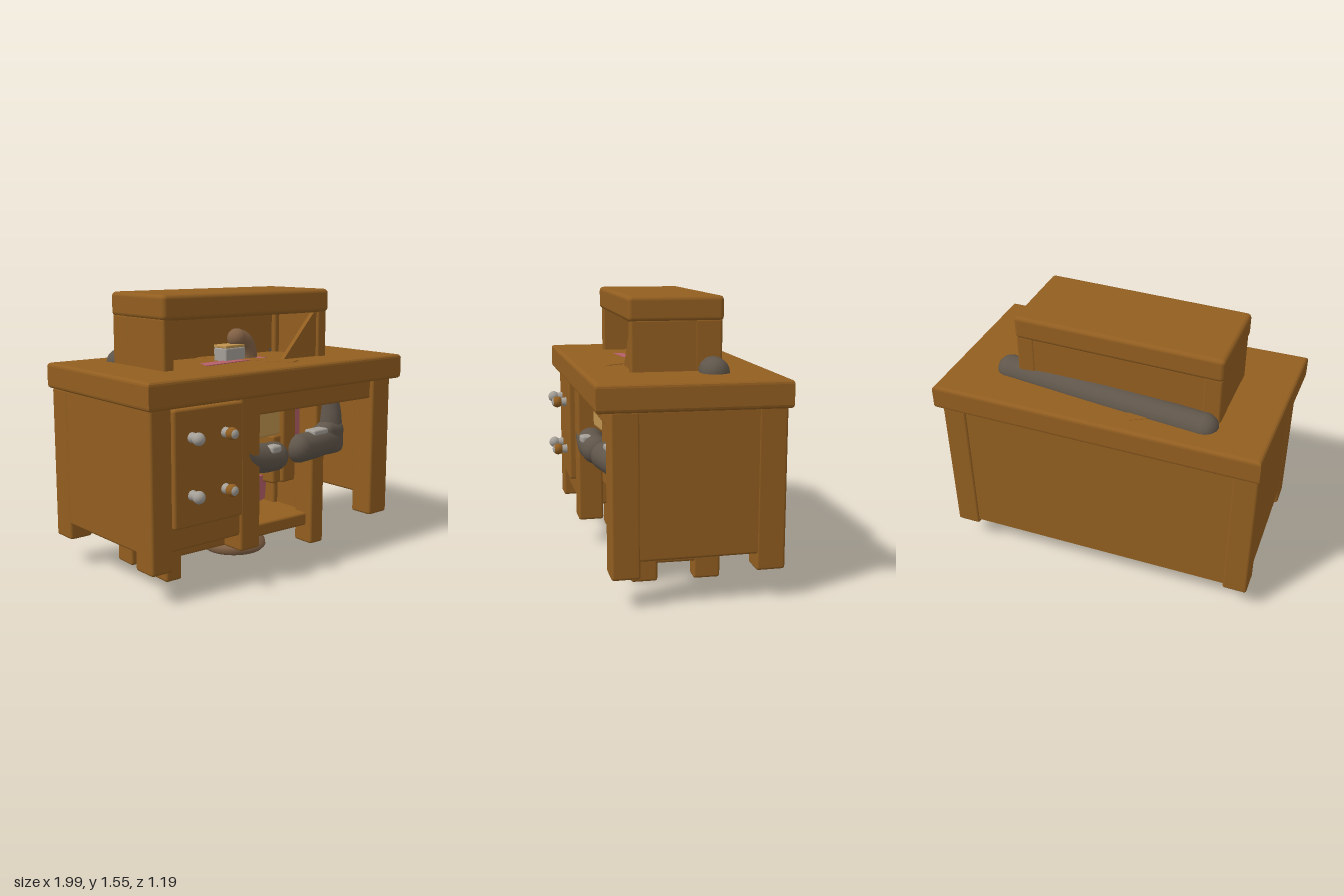
import * as THREE from 'three';
import { RoundedBoxGeometry } from 'three/addons/geometries/RoundedBoxGeometry.js';

export function createModel() {
  const mat = (name, color) => {
    const m = new THREE.MeshStandardMaterial({ color });
    m.name = name;
    return m;
  };
  const wood = mat('wood', 0x925e20);
  const grey = mat('dark grey cloth', 0x60564b);
  const pink = mat('pink', 0xb56068);
  const tan = mat('tan', 0xbf934f);
  const clay = mat('clay brown', 0x826145);
  const silver = mat('silver', 0xa5a098);
  clay.side = THREE.DoubleSide;

  const root = new THREE.Group();
  const add = (parent, name, geo, material, x = 0, y = 0, z = 0) => {
    const m = new THREE.Mesh(geo, material);
    m.name = name;
    m.position.set(x, y, z);
    parent.add(m);
    return m;
  };
  // softly rounded box given by its limits
  const block = (parent, name, material, x0, x1, y0, y1, z0, z1, r = 0.015) =>
    add(parent, name,
      new RoundedBoxGeometry(x1 - x0, y1 - y0, z1 - z0, 2, Math.min(r, (y1 - y0) / 3, (z1 - z0) / 3)),
      material, (x0 + x1) / 2, (y0 + y1) / 2, (z0 + z1) / 2);
  const outline = pts => new THREE.Shape(pts.map(p => new THREE.Vector2(...p)));
  const plate = (parent, name, material, pts, depth, z) =>
    add(parent, name, new THREE.ExtrudeGeometry(outline(pts), { depth, bevelEnabled: false }), material, 0, 0, z);
  const tube = (parent, name, material, pts, r) => {
    const v = pts.map(p => new THREE.Vector3(...p));
    add(parent, name, new THREE.TubeGeometry(new THREE.CatmullRomCurve3(v), 24, r, 14), material);
    for (const p of [v[0], v[v.length - 1]])
      add(parent, name + 'End', new THREE.SphereGeometry(r, 14, 10), material, p.x, p.y, p.z);
  };

  // slightly skewed slab of the large desk, with softened edges
  const slab = new THREE.ExtrudeGeometry(
    outline([[-0.975, -0.41], [0.85, -0.57], [0.975, 0.375], [-0.845, 0.575]]),
    { depth: 0.105, bevelThickness: 0.02, bevelSize: 0.02, bevelSegments: 3 });
  slab.rotateX(-Math.PI / 2);
  add(root, 'deskTop', slab, wood, 0, 1.03, 0);

  // large desk
  const desk = new THREE.Group();
  desk.name = 'desk';
  desk.rotation.y = -0.097;
  root.add(desk);
  for (const [x0, x1, z] of [[-0.912, -0.78, 0.475], [-0.31, -0.17, 0.455], [0.755, 0.91, 0.435]])
    block(desk, 'frontLeg', wood, x0, x1, 0.16, 1.02, z - 0.15, z);
  for (const [x0, x1] of [[-0.91, -0.77], [0.77, 0.91]])
    block(desk, 'backLeg', wood, x0, x1, 0.16, 1.02, -0.475, -0.32);
  block(desk, 'leftSide', wood, 0.86, 0.907, 0.25, 1.02, -0.43, 0.4);
  block(desk, 'rightSide', wood, -0.907, -0.86, 0.25, 1.02, -0.43, 0.44);
  block(desk, 'backPanel', wood, -0.88, 0.88, 0.35, 1.02, -0.463, -0.42);
  const skin = add(desk, 'backFacing', new THREE.PlaneGeometry(1.6, 0.83), wood, 0, 0.605, -0.466);
  skin.rotation.y = Math.PI;
  block(desk, 'apron', wood, -0.2, 0.8, 0.89, 1.02, 0.36, 0.41);

  // drawer cabinet
  block(desk, 'cabinetFront', wood, -0.85, -0.24, 0.25, 1.02, 0.39, 0.44);
  block(desk, 'cabinetSide', wood, -0.23, -0.185, 0.25, 1.02, -0.42, 0.43);
  block(desk, 'drawerFront', wood, -0.78, -0.325, 0.38, 1.0, 0.42, 0.49);
  for (const x of [-0.668, -0.45])
    for (const y of [0.55, 0.85]) {
      const stem = add(desk, 'knobStem', new THREE.CylinderGeometry(0.022, 0.03, 0.05, 12), silver, x, y, 0.505);
      stem.rotation.x = Math.PI / 2;
      add(desk, 'knob', new THREE.SphereGeometry(0.034, 16, 12), x < -0.5 ? silver : wood, x, y, 0.545);
      if (x > -0.5) {
        const cap = add(desk, 'knobCap', new THREE.SphereGeometry(0.035, 16, 6, 0, Math.PI * 2, 0, 0.8), silver, x, y, 0.545);
        cap.rotation.x = Math.PI / 2;
      }
    }

  // tall narrow desk passing through the large one
  const inner = new THREE.Group();
  inner.name = 'innerDesk';
  inner.position.set(-0.055, 0, -0.005);
  inner.rotation.y = -0.125;
  root.add(inner);
  block(inner, 'innerTop', wood, -0.592, 0.592, 1.415, 1.55, -0.258, 0.258, 0.025);
  for (const s of [-1, 1]) {
    const a = s < 0 ? -0.587 : 0.482;
    for (const [z0, z1] of [[0.1, 0.247], [-0.25, -0.1]])
      block(inner, 'innerLeg', wood, a, a + 0.105, 0, z0 > 0 ? 0.6 : 1.43, z0, z1);
    block(inner, 'innerSide', wood, s * 0.55 - 0.035, s * 0.55 + 0.035, 0.1, 1.43, -0.24, 0.245);
  }
  block(inner, 'innerBack', wood, -0.56, 0.56, 0.1, 1.16, -0.246, -0.2);
  block(inner, 'innerUpperBack', wood, -0.56, 0.56, 1.14, 1.43, -0.246, -0.13);
  block(inner, 'innerShelf', wood, -0.53, 0.53, 0.11, 0.19, -0.21, 0.2);
  plate(inner, 'slantedPanel', wood, [[0.25, 1.14], [0.57, 1.14], [0.57, 1.42], [0.5, 1.42]], 0.03, 0.2);

  // round stool: pedestal base, stem and padded seat
  const profile = [[0.12, 0.06], [0.14, 0.035], [0.17, 0.03], [0.19, 0.05], [0.185, 0.08], [0.15, 0.11],
    [0.08, 0.13], [0.06, 0.18], [0.045, 0.24], [0.05, 0.3], [0.075, 0.34], [0, 0.35]];
  add(root, 'stoolPedestal', new THREE.LatheGeometry(profile.map(p => new THREE.Vector2(...p)), 32), clay, -0.025, 0, 0.05);
  add(root, 'stoolBaseInside', new THREE.CylinderGeometry(0.125, 0.125, 0.02, 32), tan, -0.025, 0.075, 0.05);
  add(root, 'stoolSeat', new THREE.CylinderGeometry(0.165, 0.155, 0.15, 32), pink, -0.035, 0.425, 0.1);

  // seated figure hidden in the knee space
  block(root, 'torso', pink, -0.2, 0.435, 0.49, 1.14, -0.08, 0.18, 0.03);
  block(root, 'shirt', tan, -0.24, 0.06, 0.74, 0.91, 0.1, 0.34, 0.02);
  plate(root, 'shirtHem', tan, [[-0.24, 0.19], [-0.07, 0.19], [-0.07, 0.25], [-0.13, 0.33], [-0.24, 0.33]], 0.03, -0.1);
  block(root, 'hangingPlank', wood, 0.06, 0.17, 0.46, 0.93, 0.16, 0.36);
  block(root, 'hangingPlankEdge', wood, 0, 0.07, 0.46, 0.74, 0.2, 0.34);
  tube(root, 'leftArm', grey, [[0.185, 0.645, 0.37], [0.38, 0.645, 0.35], [0.51, 0.655, 0.32], [0.54, 0.78, 0.3], [0.55, 0.95, 0.24]], 0.083);
  block(root, 'leftElbow', grey, 0.42, 0.6, 0.56, 0.76, 0.25, 0.4, 0.05);
  tube(root, 'rightArm', grey, [[-0.03, 0.635, 0.37], [-0.13, 0.64, 0.37], [-0.27, 0.68, 0.35], [-0.29, 0.86, 0.33]], 0.083);
  block(root, 'leftCuff', silver, 0.28, 0.41, 0.705, 0.74, 0.33, 0.41);
  block(root, 'rightCuff', silver, -0.13, -0.05, 0.67, 0.715, 0.38, 0.45);

  // shoulder roll lying on the desk top
  tube(root, 'shoulderRoll', grey, [[-0.53, 1.145, -0.36], [0, 1.15, -0.25], [0.625, 1.155, -0.11]], 0.08);

  // small things on the desk top
  const patch = plate(root, 'pinkPatch', pink, [[-0.36, -0.17], [0.15, -0.15], [0.15, -0.08], [-0.31, -0.07]], 0.006, 0);
  patch.rotation.x = -Math.PI / 2;
  patch.position.y = 1.153;
  const plank = block(root, 'flatPlank', wood, -0.05, 0.05, 1.14, 1.16, -0.42, 0.42, 0.005);
  plank.position.x = -0.02;
  plank.position.z = -0.01;
  plank.rotation.y = 0.4;
  block(root, 'silverBlock', silver, -0.14, 0.02, 1.1, 1.23, 0, 0.1, 0.01);
  block(root, 'blockLid', tan, -0.14, 0.02, 1.228, 1.245, 0, 0.1, 0.005);
  tube(root, 'curvedHorn', clay, [[0.085, 1.1, 0.05], [0.085, 1.19, 0.05], [0.055, 1.25, 0.05], [0, 1.275, 0.05]], 0.057);

  return root;
}
